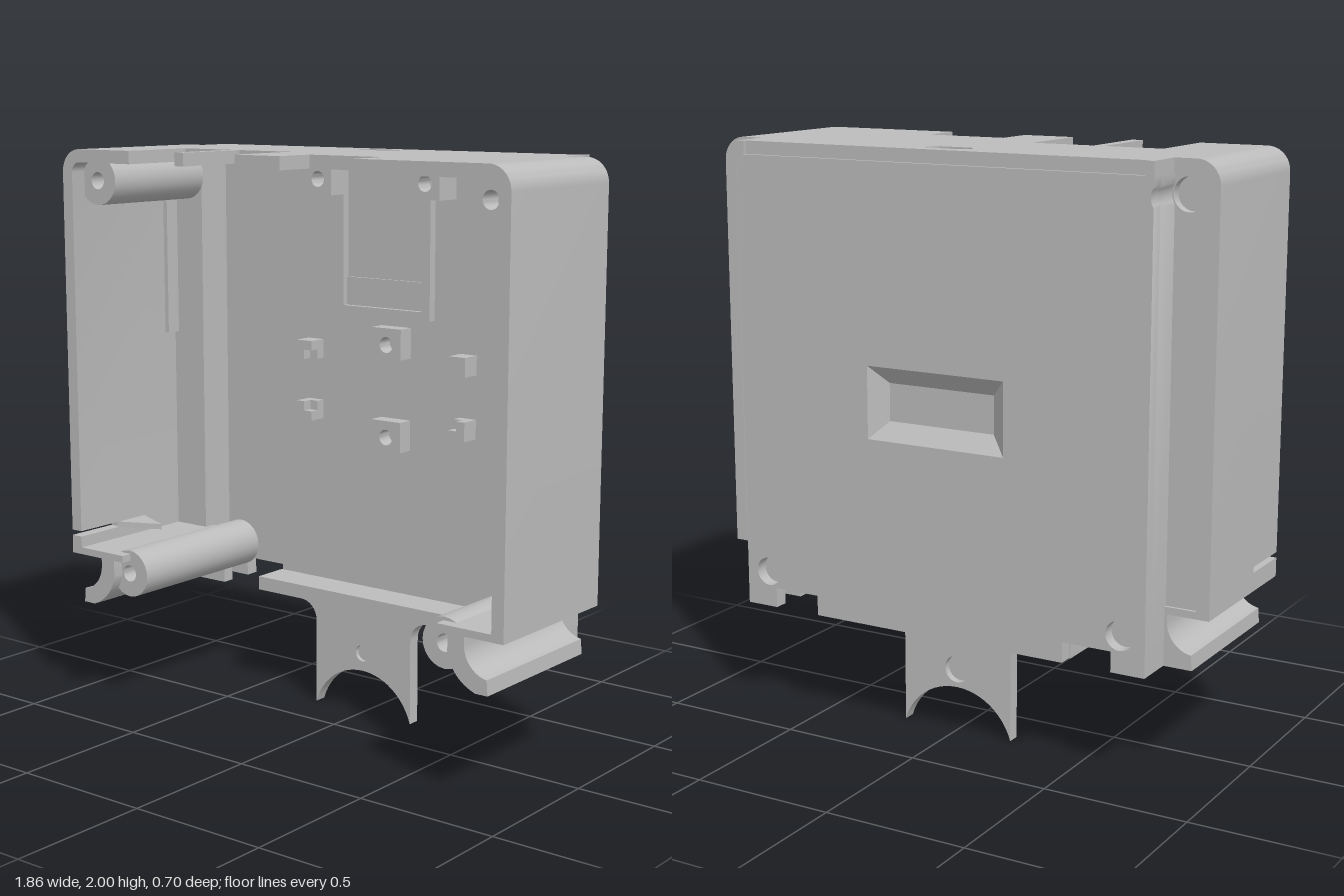
import * as THREE from 'three';
import { toCreasedNormals } from 'three/addons/utils/BufferGeometryUtils.js';

const plastic = new THREE.MeshStandardMaterial({ color: 0xbcbcbc, side: THREE.DoubleSide });
plastic.name = 'grey plastic';

// points along an arc, angles in degrees
function arc(cx, cy, r, a0, a1, n = 12) {
  const pts = [];
  for (let i = 0; i <= n; i++) {
    const a = THREE.MathUtils.degToRad(a0 + (a1 - a0) * i / n);
    pts.push([cx + r * Math.cos(a), cy + r * Math.sin(a)]);
  }
  return pts;
}
const circle = (cx, cy, r) => arc(cx, cy, r, 0, 345, 23);
const rect = (x0, y0, x1, y1) => [[x0, y0], [x1, y0], [x1, y1], [x0, y1]];
const flip = (pts, s) => pts.map(([x, y]) => [x * s, y]);
const vecs = pts => pts.map(([x, y]) => new THREE.Vector2(x, y));

export function createModel() {
  const group = new THREE.Group();
  const FLOOR = -0.3, LEDGE = -0.165, SHELL = -0.21, FRONT = 0.35;

  function add(name, geometry) {
    const mesh = new THREE.Mesh(geometry, plastic);
    mesh.name = name;
    group.add(mesh);
    return mesh;
  }
  // outline with holes, extruded from z0 to z1
  function slab(name, outline, z0, z1, holes = []) {
    const shape = new THREE.Shape(vecs(outline));
    for (const h of holes) shape.holes.push(new THREE.Path(vecs(h)));
    const g = new THREE.ExtrudeGeometry(shape, { depth: z1 - z0, bevelEnabled: false });
    return add(name, toCreasedNormals(g.translate(0, 0, z0), 0.6));
  }

  // back plate: outer layer with label pocket and screw recesses, closed by a thin inner skin
  const sideEdge = [[0.775, 0.375], ...arc(0.82, 1.89, 0.055, 215, 145, 6), [0.775, 1.955]];
  const half = [[0.48, 0.375], [0.48, 0.445], [0.655, 0.445], [0.655, 0.375], ...sideEdge];
  const plate = [...half, ...flip(half, -1).reverse()];
  const outer = rect(-0.26, 1.03, 0.26, 1.28), inner = rect(-0.2, 1.09, 0.2, 1.22);
  slab('backPlate', plate, -0.35, -0.305,
    [outer, ...[1, -1].map(s => circle(s * 0.685, 0.502, 0.05))]);
  slab('backPlateSkin', plate, -0.305, FLOOR);

  // sloping sides of the label pocket
  const pos = [];
  for (let i = 0; i < 4; i++) {
    const j = (i + 1) % 4;
    const a = [...outer[i], -0.35], b = [...outer[j], -0.35];
    const c = [...inner[j], -0.305], d = [...inner[i], -0.305];
    pos.push(...a, ...c, ...b, ...a, ...d, ...c);
  }
  const slopes = new THREE.BufferGeometry();
  slopes.setAttribute('position', new THREE.Float32BufferAttribute(pos, 3));
  slopes.computeVertexNormals();
  add('labelPocketSlopes', slopes);

  // top panel with front notches, a rounded slot and a shallow groove at the back
  const top = [
    [-0.85, -0.35], [-0.61, -0.35], [-0.61, -0.065], [-0.4, -0.065], [-0.4, -0.35],
    [-0.36, -0.35], [-0.36, -0.065], [-0.135, -0.065], [-0.135, -0.35],
    [0.055, -0.35], [0.055, -0.2], [0.35, -0.2], [0.35, -0.35], [0.85, -0.35],
    [0.85, 0.21], [0.775, 0.21], [0.775, 0.35], [0.745, 0.35], [0.745, 0.335],
    [-0.745, 0.335], [-0.745, 0.35], [-0.775, 0.35], [-0.775, 0.21], [-0.85, 0.21]];
  const slot = [...arc(0.048, 0.245, 0.035, -90, 90), ...arc(-0.048, 0.245, 0.035, 90, 270)];
  const topPanel = slab('topPanel', top, 0, 0.045, [slot]);
  topPanel.rotation.x = -Math.PI / 2;
  topPanel.position.y = 1.955;

  // side wall profile: upper part with rounded corner, lower part with bottom web
  const upperWall = y => [
    [0.93, y], [0.885, y], ...arc(0.85, 1.92, 0.035, 0, 90, 6),
    [0.85, 2], ...arc(0.85, 1.92, 0.08, 90, 0)];
  const lowerWall = y => [
    [0.93, y], [0.93, 0.55], [0.68, 0.55], [0.68, 0.575], [0.885, 0.575], [0.885, y]];

  for (const s of [1, -1]) {
    // the right wall has a narrow slit near its front bottom edge
    const slitBack = s > 0 ? FRONT : 0.15;
    slab('sideWall', flip(upperWall(0.635), s), SHELL, FRONT);
    slab('sideWallFoot', flip(lowerWall(0.635), s), SHELL, slitBack);
    if (s < 0) slab('sideWallFootFront', flip(lowerWall(0.615), s), slitBack, FRONT);

    // step up from the back plate to the ledge beside it
    slab('plateSide', flip([[0.745, 0.375], ...sideEdge, [0.745, 1.955]], s), FLOOR, LEDGE);
    slab('sideLedge', flip(rect(0.76, 0.56, 0.89, 1.96), s), -0.2, LEDGE,
      [flip(circle(0.825, 1.89, 0.055), s)]);

    // screw columns, closed at the back
    slab('upperScrewColumn', flip(circle(0.82, 1.89, 0.085), s), LEDGE + 0.005, 0.29,
      [flip(circle(0.82, 1.89, 0.03), s)]);
    slab('upperColumnEnd', flip(circle(0.82, 1.89, 0.085), s), LEDGE, LEDGE + 0.005);
    slab('lowerScrewColumn', flip(circle(0.685, 0.502, 0.085), s), FLOOR, 0.31,
      [flip(circle(0.685, 0.502, 0.03), s)]);

    // curved hook under each side wall, with a foot behind it
    slab('bottomHook', flip([
      [0.725, 0.56], [0.785, 0.56], ...arc(0.885, 0.525, 0.1, 180, 262), [0.875, 0.375],
      [0.825, 0.375], ...arc(0.87, 0.52, 0.15, 252, 190)], s), SHELL, FRONT);
    slab('hookFoot', flip(rect(0.655, 0.375, 0.83, 0.425), s), SHELL, LEDGE);

    // screw blocks beside the connector frame
    slab('connectorBlock', flip(rect(0.17, 1.84, 0.29, 1.956), s), FLOOR, -0.2,
      [flip(circle(0.23, 1.895, 0.028), s)]);
  }

  // low frame round the connector bay
  slab('connectorFrame', [
    [-0.205, 1.956], [-0.205, 1.42], [0.205, 1.42], [0.205, 1.956],
    [0.17, 1.956], [0.17, 1.45], [-0.17, 1.45], [-0.17, 1.956]], FLOOR, -0.27);
  slab('connectorStep', rect(-0.17, 1.45, 0.17, 1.55), FLOOR, -0.29);

  // locating rib and wedge on the right wall
  slab('wallRib', rect(-0.89, 1.31, -0.868, 1.83), LEDGE, -0.11);
  const wedge = slab('lowerWedge', [[-0.89, -0.16], [-0.735, -0.09], [-0.89, -0.02]], 0, 0.02);
  wedge.rotation.x = -Math.PI / 2;
  wedge.position.y = 0.615;

  // board mounts
  for (const y of [1.333, 1.005]) {
    slab('boardMount', rect(-0.022, y - 0.054, 0.105, y + 0.054), FLOOR, FLOOR + 0.06,
      [circle(0.042, y - 0.005, 0.028)]);
  }
  // notched corner posts: an L shape round a lower square facing the middle
  for (const sx of [1, -1]) {
    for (const sy of [1, -1]) {
      const x = 0.015 + sx * 0.333, y = 1.17 + sy * 0.111, q = 0.034;
      const at = pts => pts.map(([u, v]) => [x + sx * u * q, y + sy * v * q]);
      slab('cornerPost', at([[-1, 0], [0, 0], [0, -1], [1, -1], [1, 1], [-1, 1]]),
        FLOOR, FLOOR + 0.07);
      slab('cornerPostSeat', at(rect(-1, -1, 0, 0)), FLOOR, FLOOR + 0.035);
    }
  }

  // bottom shelf and hanging tongue with a recess on each face
  slab('bottomShelf', rect(-0.485, 0.375, 0.485, 0.425), FLOOR, LEDGE);
  const tongue = [
    [-0.28, 0.376], ...arc(-0.28, 0.305, 0.07, 90, 0, 8), ...arc(0, -0.065, 0.22, 163, 17, 24),
    ...arc(0.28, 0.305, 0.07, 180, 90, 8), [0.28, 0.376]];
  slab('tongueBack', tongue, SHELL, -0.185, [circle(0, 0.22, 0.048)]);
  slab('tongueCore', tongue, -0.185, -0.18);
  slab('tongueFront', tongue, -0.18, LEDGE, [circle(0, 0.22, 0.03)]);

  return group;
}
